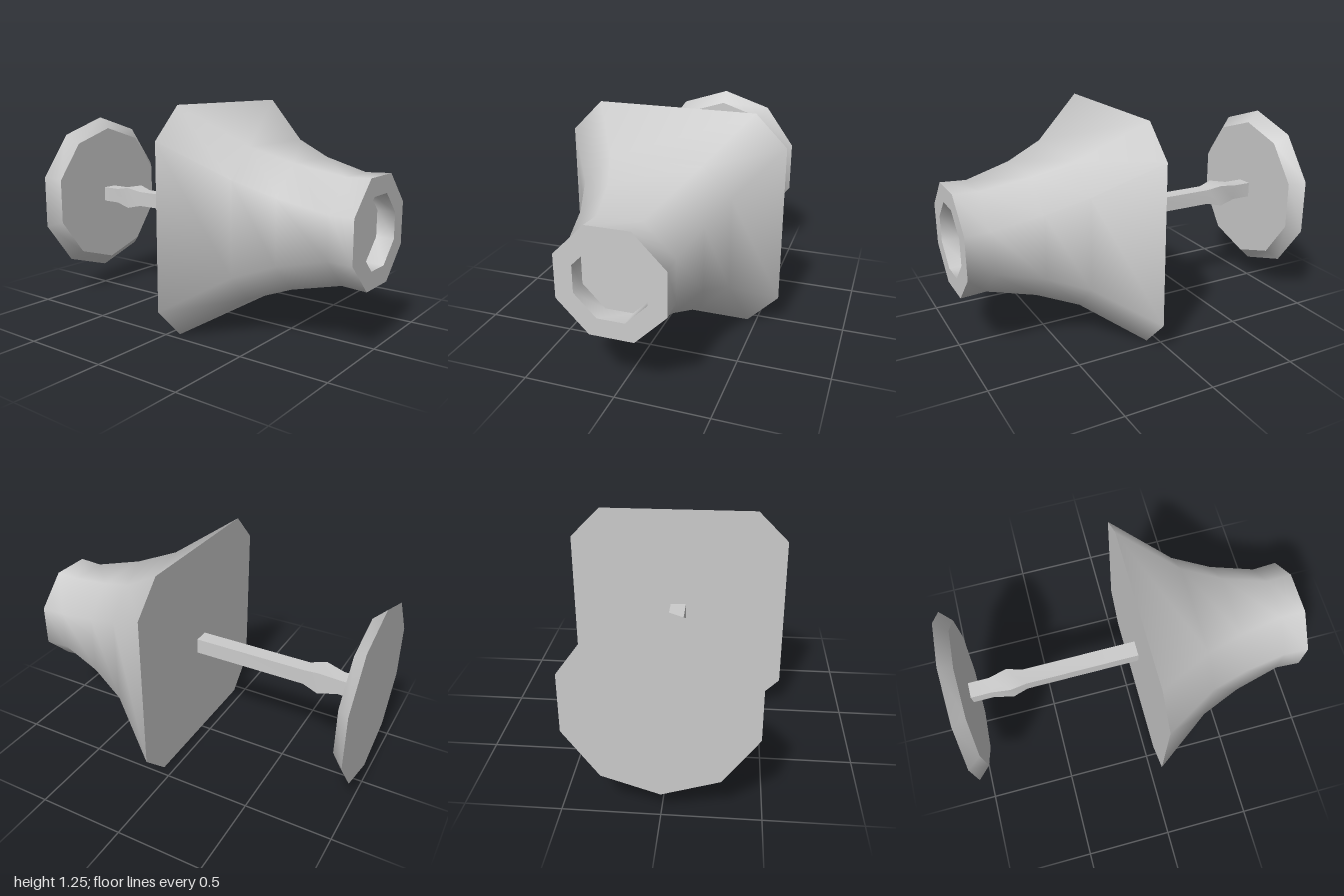
import * as THREE from 'three';
import { toCreasedNormals } from 'three/addons/utils/BufferGeometryUtils.js';

const CENTER_Y = 0.625;

// Octagon from a square of half-width h whose flat sides have half-length f
const octagon = (z, h, f) =>
  [[h, -f], [h, f], [f, h], [-f, h], [-h, f], [-h, -f], [-f, -h], [f, -h]].map(([x, y]) => [x, y, z]);

// Square bar section
const square = (z, h) => [[h, -h], [h, h], [-h, h], [-h, -h]].map(([x, y]) => [x, y, z]);

// Regular polygon with a corner at the top
const polygon = (z, r, n) => Array.from({ length: n }, (_, i) => {
  const a = Math.PI / 2 + (i / n) * Math.PI * 2;
  return [r * Math.cos(a), r * Math.sin(a), z];
});

// Skin a series of cross-sections and close both ends
function loft(name, rings, crease) {
  const n = rings[0].length;
  const positions = rings.flat(2);
  const index = [];
  const first = rings.length * n;
  const last = first + 1;
  positions.push(0, 0, rings[0][0][2], 0, 0, rings[rings.length - 1][0][2]);
  for (let i = 0; i < n; i++) {
    const j = (i + 1) % n;
    for (let k = 0; k < rings.length - 1; k++) {
      const a = k * n, b = a + n;
      index.push(a + i, a + j, b + j, a + i, b + j, b + i);
    }
    const e = (rings.length - 1) * n;
    index.push(first, j, i, last, e + i, e + j);
  }
  const geometry = new THREE.BufferGeometry();
  geometry.setAttribute('position', new THREE.Float32BufferAttribute(positions, 3));
  geometry.setIndex(index);
  const mesh = new THREE.Mesh(
    toCreasedNormals(geometry, crease),
    new THREE.MeshStandardMaterial({ color: 0xcccccc })
  );
  mesh.name = name;
  mesh.position.y = CENTER_Y;
  return mesh;
}

export function createModel() {
  const model = new THREE.Group();
  model.name = 'flaredPlunger';

  // Flared body, with a shallow recess in its narrow front end
  model.add(loft('flaredBody', [
    octagon(0.06, 0.625, 0.45),
    octagon(0.38, 0.412, 0.255),
    octagon(0.6, 0.335, 0.175),
    octagon(0.86, 0.28, 0.115),
    octagon(1, 0.287, 0.117),
    octagon(1, 0.19, 0.073),
    octagon(0.9, 0.19, 0.073),
  ], 0.9));

  // Square rod with a small swelling near the disc
  model.add(loft('rod', [
    square(-0.93, 0.045),
    square(-0.81, 0.045),
    square(-0.7, 0.065),
    square(-0.61, 0.045),
    square(0.06, 0.045),
  ], 0.9));

  // Ten-sided bevelled disc
  model.add(loft('backDisc', [polygon(-1, 0.5, 10), polygon(-0.93, 0.432, 10)], 0.7));

  return model;
}
